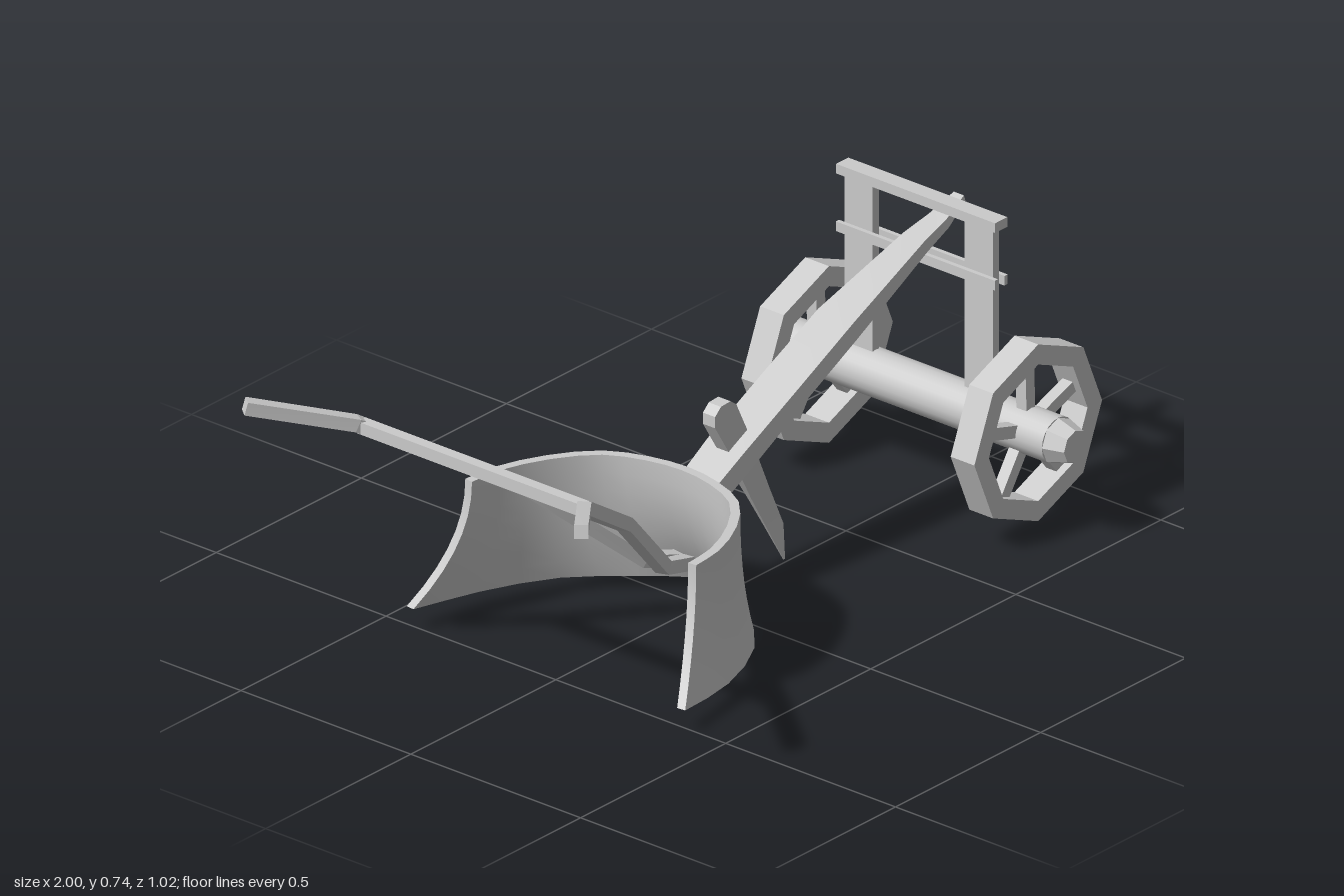
import * as THREE from 'three';
import { toCreasedNormals } from 'three/addons/utils/BufferGeometryUtils.js';

const V = (x, y, z) => new THREE.Vector3(x, y, z);
const grey = new THREE.MeshStandardMaterial({ color: 0xcccccc });
const greyFlat = new THREE.MeshStandardMaterial({ color: 0xcccccc, flatShading: true });

function add(parent, name, geometry, material = grey) {
  const mesh = new THREE.Mesh(geometry, material);
  mesh.name = name;
  parent.add(mesh);
  return mesh;
}

function box(parent, name, size, position) {
  const mesh = add(parent, name, new THREE.BoxGeometry(...size));
  mesh.position.set(...position);
  return mesh;
}

// Skin a row of equal cross-section rings, close both ends, face outwards.
function loft(rings, crease = 0.5) {
  const n = rings[0].length, last = (rings.length - 1) * n;
  const index = [];
  const quad = (a, b, c, d) => index.push(a, b, c, a, c, d);
  for (let r = 0; r < rings.length - 1; r++) {
    for (let i = 0; i < n; i++) {
      const j = (i + 1) % n;
      quad(r * n + i, r * n + j, (r + 1) * n + j, (r + 1) * n + i);
    }
  }
  for (let i = 0; i < n / 2 - 1; i++) {
    quad(n - 1 - i, n - 2 - i, i + 1, i);
    quad(last + i, last + i + 1, last + n - 2 - i, last + n - 1 - i);
  }
  const points = rings.flat();
  let volume = 0;
  for (let k = 0; k < index.length; k += 3) {
    const [a, b, c] = [0, 1, 2].map((m) => points[index[k + m]]);
    volume += a.dot(b.clone().cross(c));
  }
  if (volume < 0) index.reverse();
  const geometry = new THREE.BufferGeometry().setFromPoints(points);
  geometry.setIndex(index);
  return toCreasedNormals(geometry, crease);
}

// Bar in the middle plane; each row is two edge points (x, y) and a half width.
const slab = (rows) => loft(rows.map(([x1, y1, x2, y2, w]) =>
  [V(x1, y1, w), V(x1, y1, -w), V(x2, y2, -w), V(x2, y2, w)]), 0.3);

// Square bar swept along a bent path.
function bar(path, w) {
  return loft(path.map((p, i) => {
    const dir = path[Math.min(i + 1, path.length - 1)].clone().sub(path[Math.max(i - 1, 0)]).normalize();
    const side = dir.clone().cross(V(0, 1, 0)).normalize();
    const up = side.clone().cross(dir);
    return [[1, 1], [-1, 1], [-1, -1], [1, -1]].map(([s, u]) =>
      p.clone().addScaledVector(side, s * w).addScaledVector(up, u * w));
  }), 0.15);
}

// Curved share: blends a narrow top plan curve into a flared bottom one.
function moldboardGeometry() {
  const mirrored = (half) => new THREE.CatmullRomCurve3([
    ...half.map(([x, z]) => V(x, 0, z)),
    ...half.slice(0, -1).reverse().map(([x, z]) => V(x, 0, -z))]);
  const top = mirrored([[-0.4, 0.34], [-0.31, 0.33], [-0.19, 0.28], [-0.09, 0.2], [-0.045, 0.1], [-0.03, 0]]);
  const bottom = mirrored([[-0.52, 0.41], [-0.33, 0.375], [-0.14, 0.29], [-0.01, 0.16], [0.06, 0.07], [0.085, 0]]);
  const steps = 20, levels = 7, thick = 0.022;
  const rings = [];
  for (let i = 0; i <= steps; i++) {
    const u = i / steps;
    const a = top.getPoint(u), b = bottom.getPoint(u);
    const tangent = top.getTangent(u);
    const inward = V(-tangent.z, 0, tangent.x);
    if (inward.dot(V(-0.5, 0, 0).sub(a)) < 0) inward.negate();
    const low = 0.035 + 0.025 * Math.pow(Math.abs(2 * u - 1), 4);
    const outer = [], inner = [];
    for (let k = 0; k <= levels; k++) {
      const s = k / levels;
      const p = a.clone().lerp(b, Math.pow(s, 2.1));
      p.y = THREE.MathUtils.lerp(0.355, low, s);
      outer.push(p);
      inner.unshift(p.clone().addScaledVector(inward, thick));
    }
    rings.push([...outer, ...inner]);
  }
  return loft(rings, 0.7);
}

function ring(radius) {
  return Array.from({ length: 8 }, (_, i) =>
    new THREE.Vector2(radius * Math.cos(i * Math.PI / 4), radius * Math.sin(i * Math.PI / 4)));
}

// Eight-sided rim with five spokes.
function makeWheel(name) {
  const wheel = new THREE.Group();
  wheel.name = name;
  const shape = new THREE.Shape(ring(0.22));
  shape.holes.push(new THREE.Path(ring(0.17)));
  const rim = new THREE.ExtrudeGeometry(shape, { depth: 0.07, bevelEnabled: false });
  add(wheel, 'rim', rim.translate(0, 0, -0.035), greyFlat);
  for (let i = 0; i < 5; i++) {
    const spoke = new THREE.BoxGeometry(0.14, 0.03, 0.03).translate(0.105, 0, 0);
    add(wheel, 'spoke', spoke).rotation.z = (20 + 72 * i) * Math.PI / 180;
  }
  return wheel;
}

export function createModel() {
  const model = new THREE.Group();
  model.name = 'plough';
  const body = new THREE.Group();
  body.name = 'body';
  body.position.z = -0.012;
  model.add(body);

  add(body, 'moldboard', moldboardGeometry());

  // Draught beam, tapering towards its upturned tip
  add(body, 'beam', slab([
    [-0.035, 0.285, -0.012, 0.237, 0.05], [0.1, 0.36, 0.12, 0.308, 0.055],
    [0.3, 0.457, 0.32, 0.414, 0.055], [0.48, 0.543, 0.495, 0.499, 0.053],
    [0.75, 0.64, 0.76, 0.61, 0.032], [0.83, 0.66, 0.84, 0.637, 0.025],
    [0.903, 0.69, 0.908, 0.675, 0.015]]));

  // Coulter knife through the beam
  add(body, 'coulter', slab([
    [0.062, 0.476, 0.095, 0.478, 0.018], [0.042, 0.458, 0.115, 0.463, 0.018],
    [0.042, 0.43, 0.126, 0.44, 0.018], [0.1, 0.335, 0.17, 0.35, 0.018],
    [0.18, 0.2, 0.245, 0.2, 0.006], [0.24, 0.1, 0.295, 0.095, 0.003],
    [0.298, 0.003, 0.303, 0.003, 0.001]]));

  // Wheels and axle
  const axleX = 0.775, axleY = 0.25;
  for (const s of [1, -1]) {
    const wheel = makeWheel(s > 0 ? 'frontWheel' : 'backWheel');
    wheel.position.set(axleX, axleY, s * 0.308);
    body.add(wheel);
    const end = add(body, 'axleEnd', new THREE.CylinderGeometry(0.04, 0.056, 0.052, 8), greyFlat);
    end.rotation.x = s * Math.PI / 2;
    end.position.set(axleX, axleY, s * 0.427);
  }
  const axle = add(body, 'axle', new THREE.CylinderGeometry(0.056, 0.056, 0.803, 20));
  axle.rotation.x = Math.PI / 2;
  axle.position.set(axleX, axleY, 0);

  // Frame on the axle carrying the beam
  for (const s of [1, -1]) {
    box(body, 'post', [0.022, 0.45, 0.083], [axleX, 0.5, s * 0.177]);
    box(body, 'lowerRail', [0.011, 0.024, 0.468], [axleX + s * 0.0165, 0.59, 0]);
  }
  box(body, 'topRail', [0.042, 0.024, 0.468], [axleX, 0.733, 0]);

  // Pair of handles joined by a crossbar
  for (const s of [1, -1]) {
    add(model, s > 0 ? 'frontHandle' : 'backHandle', bar([
      V(-0.992, 0.71, s * 0.495), V(-0.795, 0.645, s * 0.335),
      V(-0.43, 0.41, s * 0.15 - 0.006), V(-0.15, 0.16, s * 0.03 - 0.012),
      V(-0.05, 0.13, s * 0.015 - 0.012)], 0.016));
  }
  box(model, 'crossbar', [0.028, 0.03, 0.66], [-0.785, 0.638, 0]);
  return model;
}
